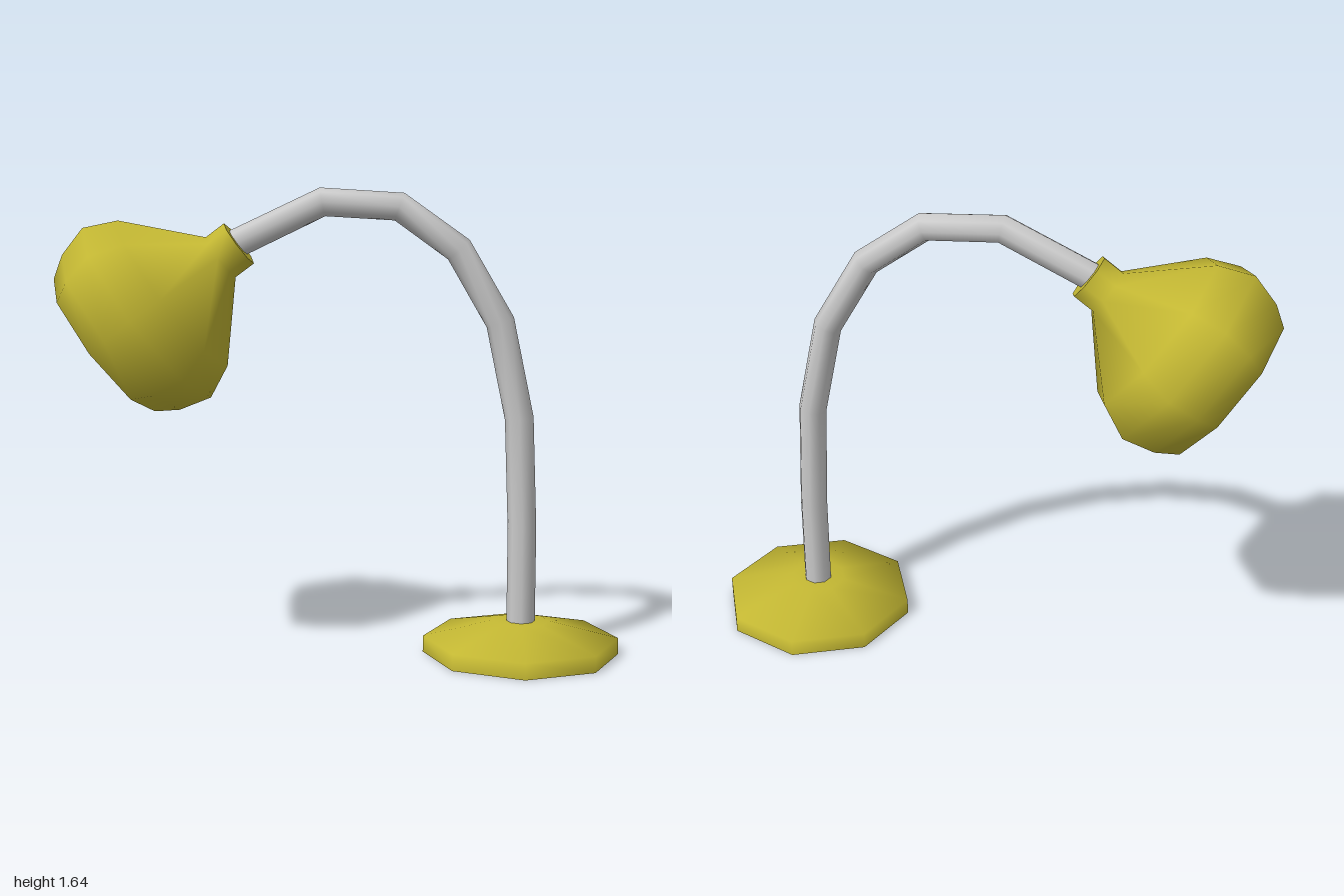
import * as THREE from 'three';
import { toCreasedNormals } from 'three/addons/utils/BufferGeometryUtils.js';

const SIDES = 8;

// Eight-sided turned part from [radius, height] pairs
function turned(name, profile, material) {
  const lathe = new THREE.LatheGeometry(profile.map(([r, y]) => new THREE.Vector2(r, y)), SIDES);
  const mesh = new THREE.Mesh(toCreasedNormals(lathe, 1.4), material);
  mesh.name = name;
  return mesh;
}

// Curve that keeps its corners, with mitred tangents for the tube rings
class Polyline extends THREE.Curve {
  constructor(points) {
    super();
    this.points = points;
  }
  getPoint(t, target = new THREE.Vector3()) {
    const f = t * (this.points.length - 1);
    const i = Math.min(Math.floor(f), this.points.length - 2);
    return target.lerpVectors(this.points[i], this.points[i + 1], f - i);
  }
  getPointAt(u, target) {
    return this.getPoint(u, target);
  }
  getTangentAt(u, target = new THREE.Vector3()) {
    const p = this.points, last = p.length - 1, i = Math.round(u * last);
    target.set(0, 0, 0);
    if (i > 0) target.add(p[i].clone().sub(p[i - 1]).normalize());
    if (i < last) target.add(p[i + 1].clone().sub(p[i]).normalize());
    return target.normalize();
  }
}

export function createModel() {
  const lamp = new THREE.Group();
  lamp.name = 'deskLamp';
  const yellow = new THREE.MeshStandardMaterial({ color: 0xc4b833, side: THREE.DoubleSide });
  const grey = new THREE.MeshStandardMaterial({ color: 0xcccccc, side: THREE.DoubleSide });

  // Weighted foot
  const base = turned('base', [[0, 0], [0.345, 0], [0.345, 0.058], [0.1, 0.118], [0, 0.118]], yellow);
  base.position.x = 0.65;
  lamp.add(base);

  // Gooseneck from the foot to the shade collar
  const path = [
    [0.65, 0.06], [0.65, 0.45], [0.635, 0.84], [0.565, 1.175], [0.42, 1.425],
    [0.215, 1.572], [-0.05, 1.588], [-0.37, 1.435],
  ].map(([x, y]) => new THREE.Vector3(x, y, 0));
  const neck = new THREE.Mesh(
    new THREE.TubeGeometry(new Polyline(path), path.length - 1, 0.05, SIDES), grey);
  neck.name = 'neck';
  lamp.add(neck);

  // Shade with collar, outer shell, lip and hollow inside
  const shade = turned('shade', [
    [0, 0], [0.086, 0], [0.086, 0.08], [0.315, 0.29], [0.369, 0.405], [0.338, 0.52], [0.29, 0.594],
    [0.25, 0.594], [0.3, 0.51], [0.325, 0.405], [0.28, 0.31], [0.06, 0.11], [0, 0.11],
  ], yellow);
  shade.position.set(-0.34, 1.445, 0);
  shade.rotation.z = Math.atan2(0.8, -0.6);
  lamp.add(shade);

  return lamp;
}
